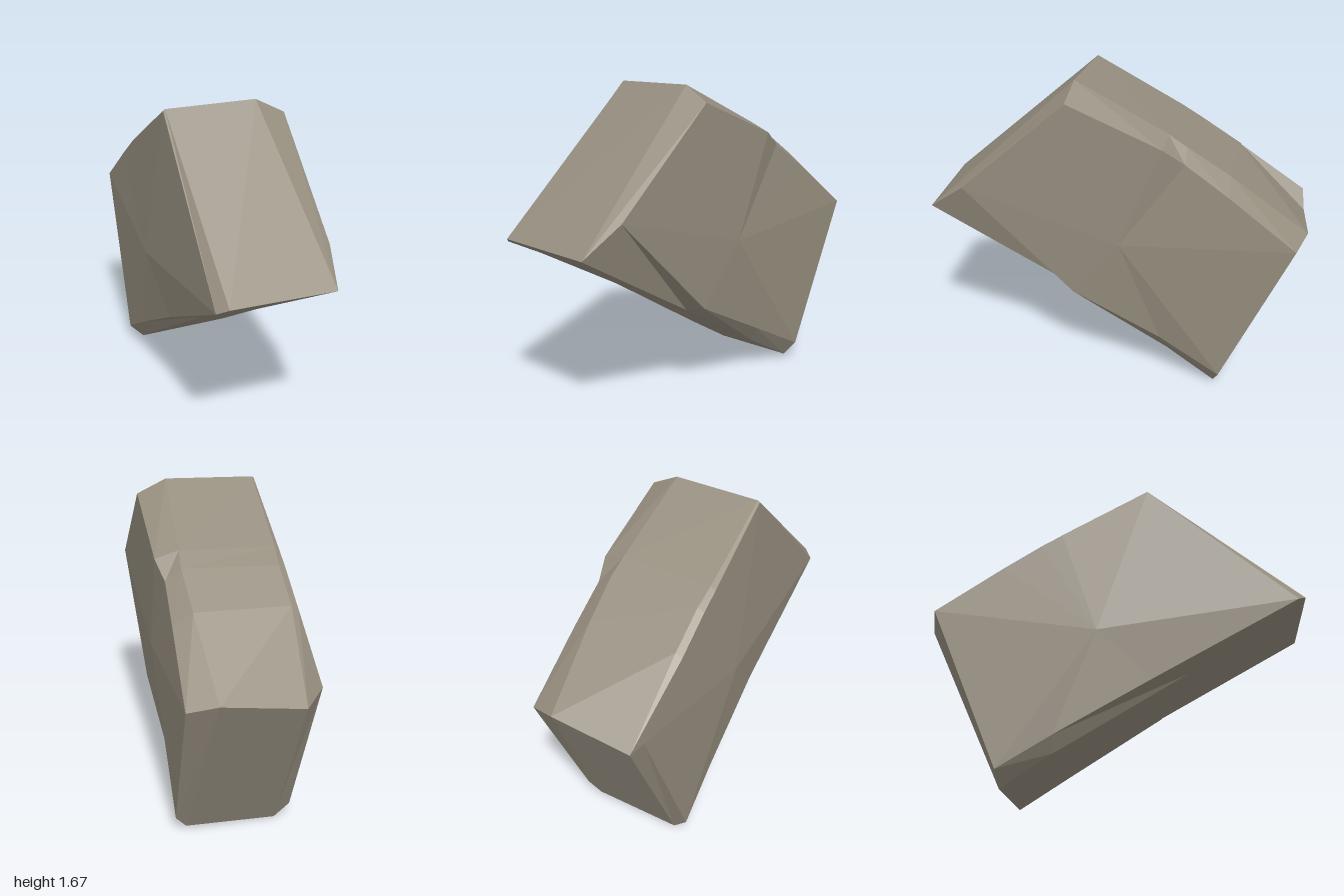
import * as THREE from 'three';

// Each row crosses the slab from right (-x) to left (+x):
// side rim, bevel edge, bevel edge, side rim. Rows run around the outline.
const rows = [
  [[-0.31, 0.93, 0.96], [-0.26, 0.96, 1.0], [0.28, 0.955, 0.98], [0.33, 1.1, 0.78]],        // front corner
  [[-0.3, 1.655, 0.19], [-0.29, 1.662, 0.19], [0.18, 1.675, 0.2], [0.33, 1.6, 0.215]],      // peak
  [[-0.305, 1.4, -0.28], [-0.28, 1.42, -0.28], [0.21, 1.44, -0.28], [0.33, 1.4, -0.27]],    // shoulder
  [[-0.305, 1.34, -0.39], [-0.27, 1.36, -0.39], [0.22, 1.38, -0.38], [0.3, 1.32, -0.38]],   // chip
  [[-0.305, 1.21, -0.6], [-0.27, 1.23, -0.6], [0.21, 1.24, -0.6], [0.31, 1.17, -0.6]],      // back slope
  [[-0.31, 0.97, -0.96], [-0.24, 0.875, -0.975], [0.18, 0.95, -1.0], [0.325, 0.91, -0.95]], // back corner
  [[-0.31, 0.08, -0.58], [-0.23, 0.0, -0.57], [0.25, 0.02, -0.57], [0.31, 0.1, -0.6]],      // foot
  [[-0.3, 0.25, -0.3], [-0.25, 0.17, -0.3], [0.22, 0.18, -0.3], [0.28, 0.28, -0.27]],       // lower underside
  [[-0.29, 0.53, 0.2], [-0.17, 0.6, 0.38], [0.2, 0.5, 0.22], [0.31, 0.53, 0.2]],            // upper underside
];
const rightCentre = [-0.335, 0.8, -0.08];
const leftCentre = [0.325, 0.85, -0.05];

function rockGeometry() {
  const positions = [];
  const tri = (a, b, c) => positions.push(...a, ...b, ...c);
  rows.forEach((row, i) => {
    const next = rows[(i + 1) % rows.length];
    // Outline band with its bevels
    for (let j = 0; j < 3; j++) {
      tri(row[j], row[j + 1], next[j + 1]);
      tri(row[j], next[j + 1], next[j]);
    }
    // Broad side faces
    tri(rightCentre, row[0], next[0]);
    tri(leftCentre, next[3], row[3]);
  });
  const geometry = new THREE.BufferGeometry();
  geometry.setAttribute('position', new THREE.Float32BufferAttribute(positions, 3));
  geometry.computeVertexNormals(); // unshared corners give flat facets
  return geometry;
}

export function createModel() {
  const stone = new THREE.MeshStandardMaterial({ color: 0x958d7e });
  stone.name = 'stone';
  const rock = new THREE.Mesh(rockGeometry(), stone);
  rock.name = 'rockSlab';
  const model = new THREE.Group();
  model.name = 'rock';
  model.add(rock);
  return model;
}
